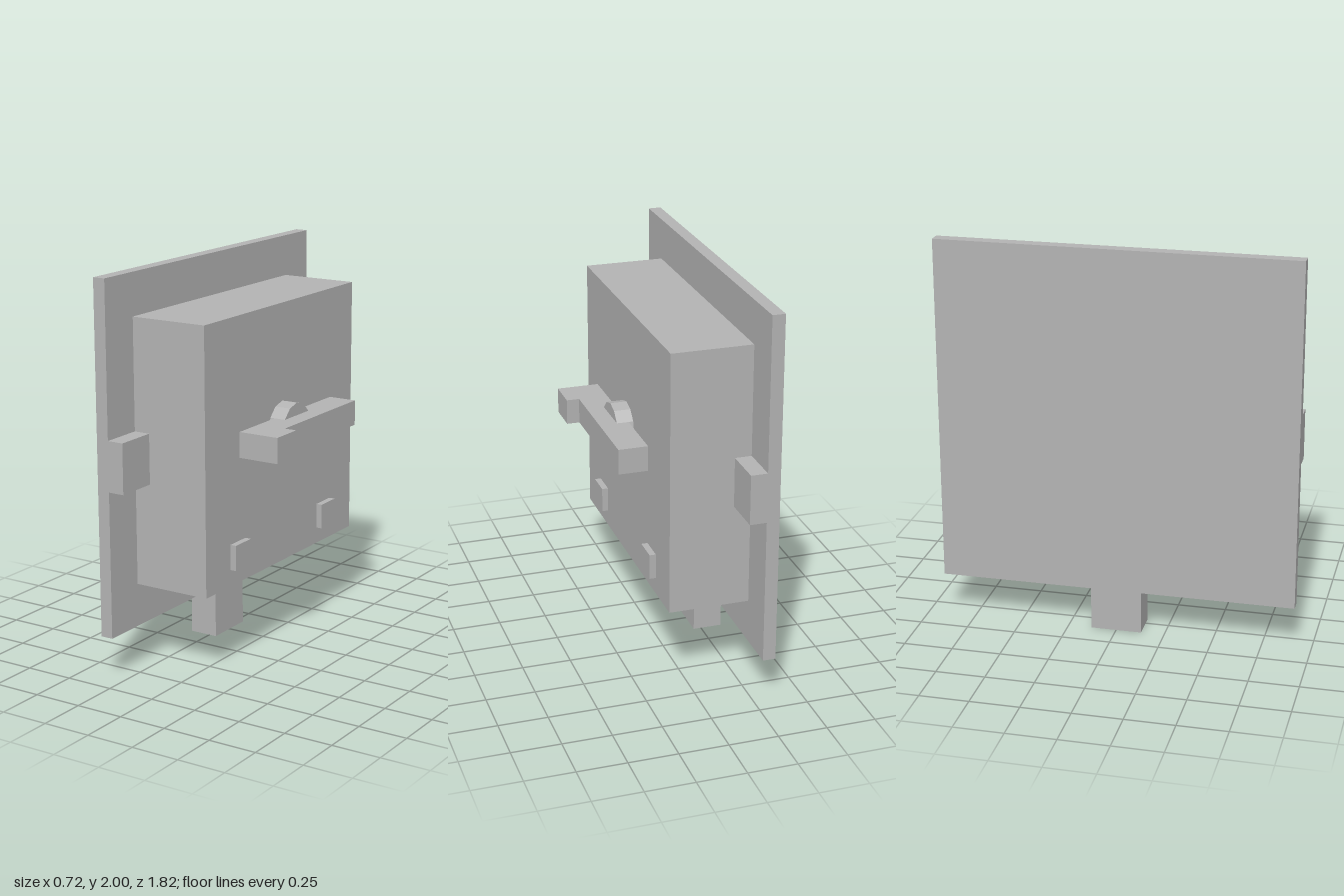
import * as THREE from 'three';

export function createModel() {
  const model = new THREE.Group();
  model.name = 'wallSwitchBox';
  const grey = new THREE.MeshStandardMaterial({ color: 0xb3b3b3 });
  grey.name = 'plain grey';

  function add(name, geometry) {
    const mesh = new THREE.Mesh(geometry, grey);
    mesh.name = name;
    model.add(mesh);
    return mesh;
  }

  // Box given by its lower and upper limits on each axis
  function block(name, [x0, x1], [y0, y1], [z0, z1]) {
    add(name, new THREE.BoxGeometry(x1 - x0, y1 - y0, z1 - z0))
      .position.set((x0 + x1) / 2, (y0 + y1) / 2, (z0 + z1) / 2);
  }

  function extrude(points, depth) {
    const shape = new THREE.Shape(points.map(([a, b]) => new THREE.Vector2(a, b)));
    return new THREE.ExtrudeGeometry(shape, { depth, bevelEnabled: false });
  }

  const back = -0.36, plateFace = -0.295, tabFace = -0.21, boxFace = 0.115;

  // Back plate and housing
  block('backPlate', [back, plateFace], [0.22, 2], [-0.912, 0.912]);
  block('housing', [plateFace, boxFace], [0.44, 1.785], [-0.695, 0.695]);

  // Mirrored side tabs and front pads
  for (const [side, s] of [['front', 1], ['rear', -1]]) {
    const span = (a, b) => [s * a, s * b].sort((p, q) => p - q);
    block(side + 'Tab', [plateFace, tabFace], [0.965, 1.22], span(0.695, 0.912));
    block(side + 'Pad', [boxFace, 0.147], [0.525, 0.655], span(0.345, 0.48));
  }

  // Bottom peg, stepped over the plate's lower edge
  const peg = extrude([
    [back, 0], [tabFace, 0], [tabFace, 0.44], [plateFace, 0.44], [plateFace, 0.22], [back, 0.22],
  ], 0.26);
  peg.translate(0, 0, -0.13);
  add('bottomPeg', peg);

  // Twelve-sided pivot with its axis along x, one corner at the top
  const pivot = new THREE.CylinderGeometry(0.13, 0.13, 0.085, 12).toNonIndexed();
  pivot.rotateZ(-Math.PI / 2);
  pivot.computeVertexNormals();
  add('pivot', pivot).position.set(boxFace + 0.0425, 1.155, 0);

  // L-shaped handle
  const handle = extrude([
    [0.14, -0.433], [0.29, -0.433], [0.29, 0.26], [0.355, 0.26], [0.355, 0.433], [0.14, 0.433],
  ], 0.13);
  handle.rotateX(Math.PI / 2);
  add('handle', handle).position.y = 1.22;

  return model;
}
